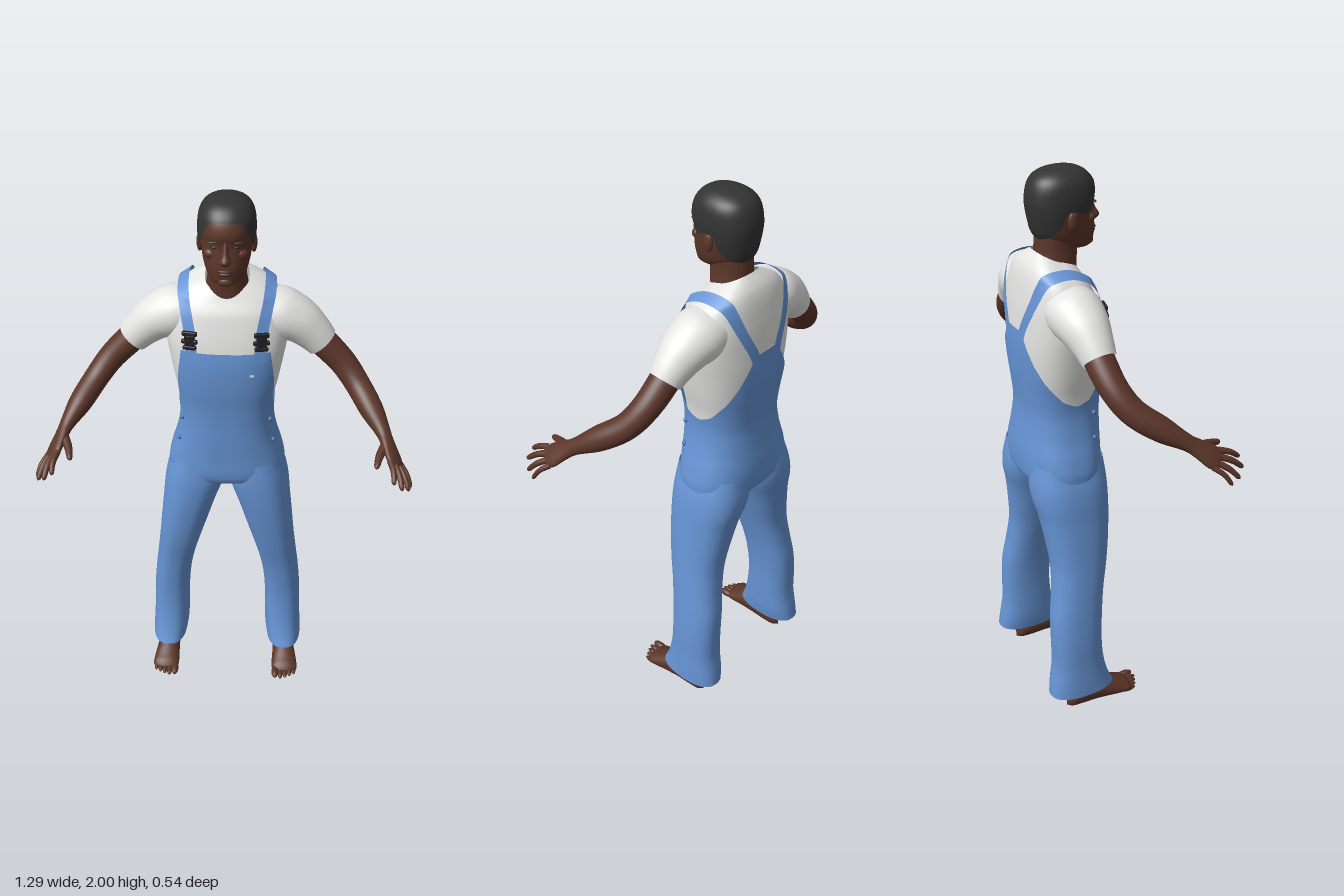
import * as THREE from 'three';
import { mergeVertices } from 'three/addons/utils/BufferGeometryUtils.js';
import { RoundedBoxGeometry } from 'three/addons/geometries/RoundedBoxGeometry.js';

const { lerp, clamp, degToRad } = THREE.MathUtils;
const V = (x, y, z) => new THREE.Vector3(x, y, z);
const mat = (name, color, side = THREE.FrontSide) =>
  Object.assign(new THREE.MeshStandardMaterial({ color, side }), { name });

// Smooth surface from a rule fn(u, v); u runs around, v along
function surface(fn, nu, nv) {
  const pos = [], index = [];
  for (let j = 0; j <= nv; j++)
    for (let i = 0; i <= nu; i++) pos.push(...fn(i / nu, j / nv).toArray());
  for (let j = 0; j < nv; j++)
    for (let i = 0; i < nu; i++) {
      const a = j * (nu + 1) + i, b = a + 1, c = a + nu + 1, d = c + 1;
      index.push(a, b, d, a, d, c);
    }
  let g = new THREE.BufferGeometry();
  g.setAttribute('position', new THREE.Float32BufferAttribute(pos, 3));
  g.setIndex(index);
  g = mergeVertices(g, 1e-5);
  g.computeVertexNormals();
  return g;
}

// Smooth interpolation of table rows keyed by their first number
function sample(rows, k) {
  let i = 0;
  while (i < rows.length - 2 && k > rows[i + 1][0]) i++;
  const a = rows[i], b = rows[i + 1], h = b[0] - a[0], s = clamp((k - a[0]) / h, 0, 1);
  const p = rows[Math.max(i - 1, 0)], q = rows[Math.min(i + 2, rows.length - 1)];
  return a.map((_, c) => {
    const m0 = (b[c] - p[c]) / (b[0] - p[0]) * h, m1 = (q[c] - a[c]) / (q[0] - a[0]) * h;
    const d = b[c] - a[c];
    return a[c] + s * (m0 + s * (3 * d - 2 * m0 - m1 + s * (m0 + m1 - 2 * d)));
  });
}
function linear(rows, k) {
  let i = 0;
  while (i < rows.length - 2 && k > rows[i + 1][0]) i++;
  const [a, b] = [rows[i], rows[i + 1]];
  return lerp(a[1], b[1], clamp((k - a[0]) / (b[0] - a[0]), 0, 1));
}

// Point on a horizontal superellipse ring; row = [y, centreX, halfWidth, zFront, zBack]
const pw = (v, e) => Math.sign(v) * Math.abs(v) ** e;
function ringPoint([y, cx, rx, zf, zb], t, n, off = 0) {
  return V(cx + (rx + off) * pw(Math.sin(t), 2 / n), y,
    (zf + zb) / 2 + ((zf - zb) / 2 + off) * pw(Math.cos(t), 2 / n));
}
const column = (rows, n, nu, nv) => surface((u, v) =>
  ringPoint(sample(rows, lerp(rows[0][0], rows.at(-1)[0], v)), u * Math.PI * 2, n), nu, nv);

// Tube along points [x, y, z, radiusA, radiusB]; radiusA lies along the hint direction
function limb(pts, hint, nu, nv, round = 0) {
  const curve = new THREE.CatmullRomCurve3(pts.map(p => V(p[0], p[1], p[2])));
  const radii = pts.map((p, i) => [i, p[3], p[4] ?? p[3]]);
  return surface((u, v) => {
    const T = curve.getTangent(v), A = hint.clone().addScaledVector(T, -hint.dot(T)).normalize();
    const B = T.clone().cross(A), [, ra, rb] = sample(radii, v * (pts.length - 1));
    const k = v > 1 - round ? Math.sqrt(Math.max(0, 1 - ((v - 1 + round) / round) ** 2)) : 1;
    const t = u * Math.PI * 2;
    return curve.getPoint(v).addScaledVector(A, ra * k * Math.cos(t)).addScaledVector(B, rb * k * Math.sin(t));
  }, nu, nv);
}
function mirrored(g) {
  const m = g.clone().scale(-1, 1, 1), ix = m.index.array;
  for (let i = 0; i < ix.length; i += 3) [ix[i], ix[i + 1]] = [ix[i + 1], ix[i]];
  m.computeVertexNormals();
  return m;
}

// Trunk cross-sections from crotch to collar
const trunk = [
  [.89, 0, .1, -.06, -.2], [.92, 0, .19, -.01, -.25], [.96, 0, .205, .003, -.26], [1.02, 0, .195, .004, -.26],
  [1.1, 0, .172, .006, -.25], [1.18, 0, .16, .008, -.243], [1.25, 0, .165, .012, -.248],
  [1.33, 0, .182, .02, -.256], [1.42, 0, .198, .022, -.26], [1.5, 0, .21, .012, -.256],
  [1.57, 0, .208, -.005, -.25], [1.62, 0, .19, -.02, -.242], [1.655, 0, .168, -.035, -.232],
  [1.68, 0, .135, -.045, -.218], [1.695, 0, .1, -.05, -.2], [1.705, 0, .075, -.055, -.19]];
function trunkPoint(y, t, off = 0) {
  const p = ringPoint(sample(trunk, y), t, 2.5, off);
  p.y -= .03 * Math.cos(t) * clamp((y - 1.6) / .1, 0, 1); // collar dips at the front
  return p;
}
const angleAt = (x, y) => Math.asin(Math.min(1, x / sample(trunk, y)[2]) ** 1.25);
const headRows = [
  [1.722, 0, .008, -.01, -.05], [1.735, 0, .046, .014, -.1], [1.76, 0, .066, .02, -.155],
  [1.79, 0, .076, .024, -.182], [1.83, 0, .083, .02, -.193], [1.87, 0, .087, .016, -.2],
  [1.9, 0, .088, .022, -.202], [1.94, 0, .083, .012, -.194], [1.965, 0, .07, -.006, -.178],
  [1.98, 0, .05, -.028, -.152], [1.989, 0, .026, -.056, -.118], [1.992, 0, .002, -.084, -.088]];

// Edge heights by angle from the front, in degrees
const bibEdge = [[0, 1.48], [40, 1.48], [44, 1.44], [53, 1.37], [62, 1.29], [75, 1.24], [90, 1.225], [107, 1.25],
  [133, 1.32], [150, 1.38], [163, 1.44], [170, 1.48], [180, 1.48]];
const hairEdge = [[0, 1.945], [30, 1.94], [45, 1.91], [58, 1.87], [68, 1.85], [80, 1.87], [98, 1.87],
  [110, 1.82], [130, 1.79], [180, 1.77]];
const foldDeg = u => 180 - Math.abs(180 - u * 360);

export function createModel() {
  const model = new THREE.Group();
  model.name = 'manInOveralls';
  const skin = mat('skin', 0x5c3629), lipSkin = mat('lip', 0x4a2820), hair = mat('hair', 0x333333, THREE.DoubleSide);
  const shirt = mat('shirt', 0xe4e4e3, THREE.DoubleSide), denim = mat('denim', 0x6694d4, THREE.DoubleSide);
  const black = mat('buckleBlack', 0x1d1d1f), stud = mat('button', 0x4c74b0);
  const add = (name, g, m) => {
    const mesh = new THREE.Mesh(g, m);
    mesh.name = name;
    model.add(mesh);
    return mesh;
  };
  const pair = (name, g, m) => { add(name + 'Left', g, m); add(name + 'Right', mirrored(g), m); };
  const ball = (x, y, z, a, b, c) => new THREE.SphereGeometry(1, 20, 14).scale(a, b, c).translate(x, y, z);

  // Shirt
  add('shirtBody', surface((u, v) => trunkPoint(lerp(1.18, 1.705, v), u * Math.PI * 2), 72, 40), shirt);
  pair('sleeve', limb([[.12, 1.585, -.132, .09, .075], [.18, 1.565, -.13, .096, .09], [.24, 1.54, -.127, .085, .08],
    [.29, 1.5, -.123, .069, .068], [.328, 1.46, -.12, .058, .058]], V(0, 0, 1), 32, 20), shirt);

  // Overalls: seat with bib and back panel, then trouser legs
  add('overallsBody', surface((u, v) =>
    trunkPoint(lerp(.89, linear(bibEdge, foldDeg(u)), v), u * Math.PI * 2, .008), 144, 40), denim);
  pair('trouserLeg', column([
    [.07, .235, .068, -.015, -.268], [.12, .23, .071, -.035, -.262], [.2, .226, .07, -.052, -.25],
    [.3, .223, .07, -.058, -.25], [.4, .214, .07, -.052, -.248], [.5, .199, .073, -.04, -.234],
    [.6, .18, .08, -.02, -.226], [.7, .16, .09, -.005, -.235], [.8, .139, .1, .005, -.25],
    [.86, .125, .108, .008, -.264], [.92, .112, .11, .008, -.267], [1, .105, .09, 0, -.255]], 2.4, 40, 44), denim);

  // Shoulder straps lie on the shirt; rows are [back?, centreX, y]
  const strapPath = [[0, .11, 1.45], [0, .112, 1.5], [0, .116, 1.55], [0, .125, 1.6], [0, .132, 1.64], [0, .135, 1.66],
    [0, .135, 9], [1, .133, 1.66], [1, .125, 1.64], [1, .108, 1.6], [1, .086, 1.55], [1, .062, 1.5], [1, .044, 1.45]];
  const strapEdge = dx => new THREE.CatmullRomCurve3(strapPath.map(([back, cx, y0]) => {
    const x = cx + dx;
    let top = 1.7;
    while (sample(trunk, top)[2] < x) top -= .001;
    const y = Math.min(y0 === 1.66 ? (1.64 + top) / 2 : y0, top), t = y0 === 9 ? Math.PI / 2 : angleAt(x, y);
    const p = trunkPoint(y, back ? Math.PI - t : t, .011);
    p.y += .011 * clamp((y - 1.58) / .08, 0, 1);
    return p;
  }));
  const inner = strapEdge(-.019), outer = strapEdge(.019);
  pair('strap', surface((u, v) => inner.getPoint(v).lerp(outer.getPoint(v), u), 4, 60), denim);

  // Buckles, bib tag and hip buttons
  for (const s of [1, -1]) {
    const buckle = new THREE.Group();
    buckle.name = s > 0 ? 'buckleLeft' : 'buckleRight';
    for (const [w, h, y] of [[.052, .016, .024], [.034, .04, 0], [.056, .014, -.004], [.046, .014, -.026]]) {
      const bar = new THREE.Mesh(new RoundedBoxGeometry(w, h, .014, 2, .004), black);
      bar.name = 'buckleBar';
      bar.position.y = y;
      buckle.add(bar);
    }
    const p = trunkPoint(1.525, angleAt(.112, 1.525), .016);
    buckle.position.set(s * p.x, p.y, p.z);
    buckle.rotation.set(-.12, s * .22, 0);
    model.add(buckle);
    for (const y of [1.18, 1.09]) {
      const b = trunkPoint(y, degToRad(64), .009);
      add('hipButton', ball(s * b.x, b.y, b.z, .009, .009, .009), stud);
    }
  }
  const tag = trunkPoint(1.4, angleAt(.085, 1.4), .011);
  add('bibTag', new THREE.BoxGeometry(.016, .007, .004).translate(tag.x, tag.y, tag.z), shirt).name = 'bibTag';

  // Head and neck
  add('neck', column([[1.64, 0, .08, -.045, -.195], [1.69, 0, .07, -.042, -.19], [1.73, 0, .065, -.038, -.184],
    [1.8, 0, .064, -.04, -.18]], 2.1, 32, 10), skin);
  add('head', surface((u, v) => ringPoint(sample(headRows, lerp(1.722, 1.992, Math.sin(v * Math.PI / 2))),
    u * Math.PI * 2, 2.2), 48, 44), skin);
  add('hair', surface((u, v) => {
    const y = lerp(linear(hairEdge, foldDeg(u)), 1.992, Math.sin(v * Math.PI / 2));
    const p = ringPoint(sample(headRows, y), u * Math.PI * 2, 2.2, .008 * Math.sqrt(1 - v ** 8));
    p.y += .008 * clamp((y - 1.9) / .08, 0, 1);
    return p;
  }, 96, 30), hair);
  add('nose', column([[1.806, 0, .004, .028, .01], [1.813, 0, .016, .041, 0], [1.825, 0, .019, .049, 0],
    [1.845, 0, .012, .037, 0], [1.87, 0, .009, .026, 0], [1.885, 0, .006, .02, 0]], 2, 20, 16), skin);
  add('upperLip', ball(0, 1.788, .021, .026, .006, .011), lipSkin);
  add('lowerLip', ball(0, 1.777, .02, .022, .007, .011), lipSkin);
  add('chin', ball(0, 1.745, .008, .026, .018, .016), skin);
  pair('eye', ball(.034, 1.864, .003, .014, .005, .009), black);
  pair('brow', ball(.036, 1.882, .007, .022, .004, .009).rotateZ(0), hair);
  pair('cheek', ball(.045, 1.835, -.012, .026, .02, .02), skin);
  pair('ear', ball(.088, 1.84, -.088, .011, .033, .019), skin);

  // Arms with palms, fingers and thumbs
  const across = V(.6, -.55, -.6).normalize();
  pair('arm', limb([[.26, 1.53, -.122, .05, .05], [.33, 1.46, -.12, .051, .05], [.405, 1.385, -.105, .048, .046],
    [.455, 1.325, -.068, .046, .043], [.505, 1.268, .008, .043, .04], [.545, 1.222, .08, .029, .025],
    [.56, 1.2, .113, .033, .02], [.58, 1.168, .155, .042, .017], [.592, 1.148, .182, .037, .013]], across, 28, 60, .04), skin);
  [[-.033, .576, 1.137, .266, .01], [-.011, .606, 1.112, .264, .0105],
    [.011, .632, 1.09, .236, .01], [.032, .643, 1.08, .2, .0085]].forEach(([o, x, y, z, r], i) => {
    const a = V(.585, 1.16, .165).addScaledVector(across, o), m = a.clone().lerp(V(x, y, z), .5).add(V(.004, .006, .004));
    pair('finger' + (i + 1), limb([[a.x, a.y, a.z, r * 1.15], [m.x, m.y, m.z, r], [x, y, z, r * .8]], across, 14, 16, .15), skin);
  });
  pair('thumb', limb([[.555, 1.2, .115, .018], [.53, 1.188, .17, .014], [.516, 1.174, .228, .009]], across, 14, 16, .15), skin);

  // Bare feet: rows are [z, centreX, halfWidth, topY]
  const foot = [[-.205, .232, .012, .035], [-.19, .232, .033, .06], [-.15, .232, .04, .085], [-.09, .234, .041, .095],
    [-.03, .238, .046, .075], [.02, .241, .051, .05], [.05, .242, .048, .035], [.062, .24, .03, .02]];
  pair('foot', surface((u, v) => {
    const [z, cx, rx, top] = sample(foot, lerp(-.205, .062, v)), t = u * Math.PI * 2;
    return V(cx + rx * Math.cos(t), Math.max(0, top * (.4 + .6 * Math.sin(t))), z);
  }, 28, 28), skin);
  pair('heel', ball(.232, .032, -.175, .034, .032, .03), skin);
  pair('ankle', column([[.03, .232, .038, -.08, -.19], [.1, .233, .04, -.08, -.18], [.25, .228, .045, -.08, -.19]], 2, 24, 8), skin);
  [[.204, .066, .014], [.226, .068, .0105], [.245, .061, .01], [.263, .052, .0095], [.28, .041, .009]].forEach(
    ([x, z, r], i) => pair('toe' + (i + 1), ball(x, r * 1.05, z, r, r * 1.05, .031), skin));

  return model;
}
